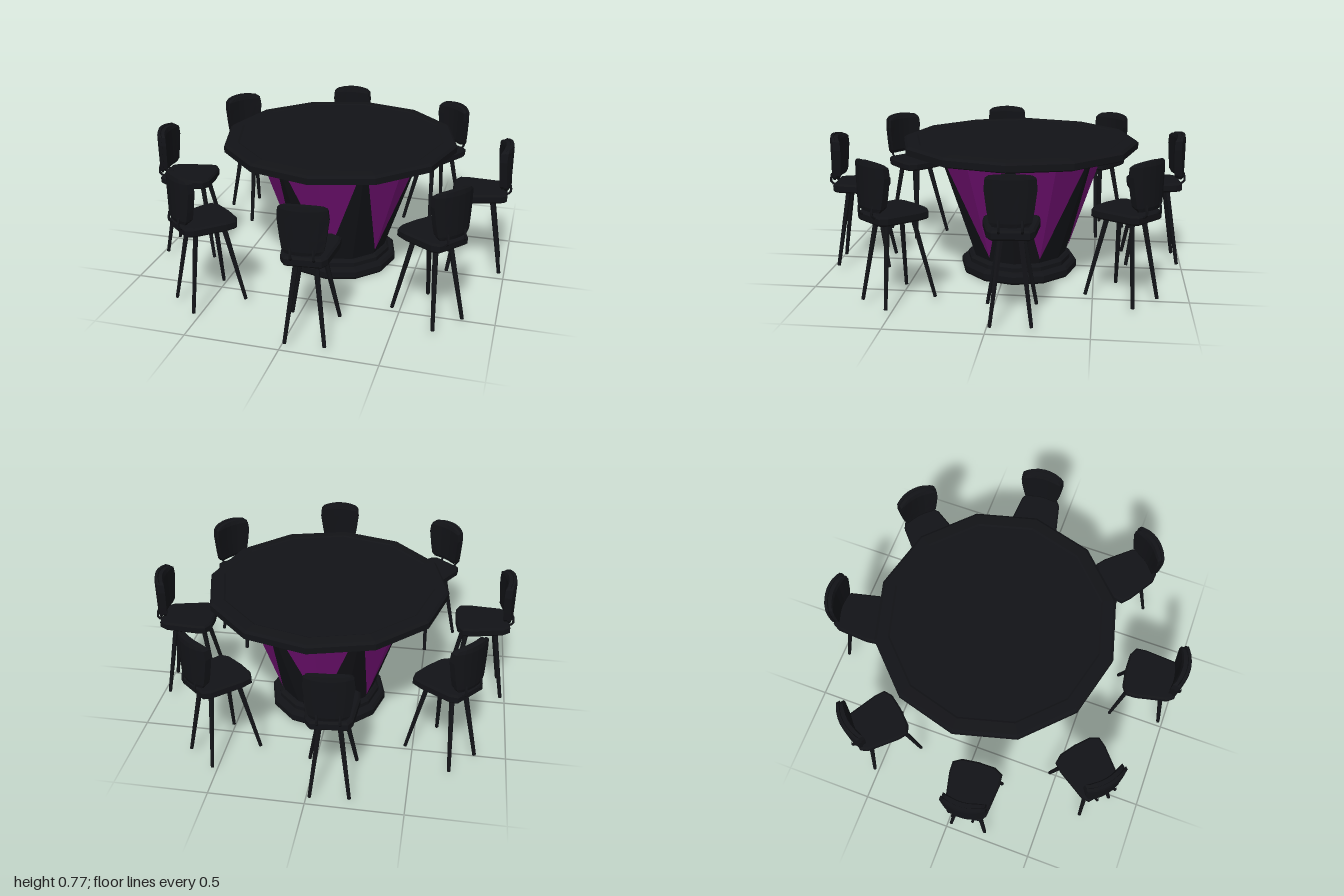
import * as THREE from 'three';

const dark = new THREE.MeshStandardMaterial({ color: 0x121317, flatShading: true });
const purple = new THREE.MeshStandardMaterial({ color: 0x6f1070, flatShading: true });
const SIDES = 12;

function add(parent, name, geometry, material = dark) {
  const mesh = new THREE.Mesh(geometry, material);
  mesh.name = name;
  parent.add(mesh);
  return mesh;
}

function group(parent, name) {
  const g = new THREE.Group();
  g.name = name;
  parent.add(g);
  return g;
}

// Faceted turned part from [radius, height] pairs, bottom to top
function turned(points) {
  return new THREE.LatheGeometry(points.map(([r, y]) => new THREE.Vector2(r, y)), SIDES);
}

// Tapered rod from the top point to the bottom point
function rod(parent, name, top, bottom, rTop, rBottom) {
  const a = new THREE.Vector3(...top), b = new THREE.Vector3(...bottom);
  const mesh = add(parent, name, new THREE.CylinderGeometry(rTop, rBottom, a.distanceTo(b), 6));
  mesh.position.copy(a).lerp(b, 0.5);
  mesh.quaternion.setFromUnitVectors(new THREE.Vector3(0, 1, 0), a.sub(b).normalize());
}

// Upholstered back panel: box bent around the sitter, its width following the height
function backPanel(rows, thickness, zCentre, bend) {
  const geo = new THREE.BoxGeometry(2, rows.length - 1, thickness, 6, rows.length - 1, 1);
  const p = geo.attributes.position;
  for (let i = 0; i < p.count; i++) {
    const row = Math.round(p.getY(i) + (rows.length - 1) / 2);
    const [y, half] = rows[row];
    const u = p.getX(i), x = u * half;
    const thin = (row === 0 || row === rows.length - 1 ? 0.6 : 1) * (Math.abs(u) > 0.9 ? 0.7 : 1);
    const crown = row === rows.length - 1 ? -0.01 * u * u : 0;
    p.setXYZ(i, x, y + crown, zCentre + p.getZ(i) * thin - bend * x * x);
  }
  geo.computeVertexNormals();
  return geo;
}

function buildTable(root) {
  const table = group(root, 'table');
  table.position.set(0.03, 0, -0.065);

  add(table, 'tabletop', turned([
    [0, 0.7], [0.63, 0.7], [0.66, 0.712], [0.66, 0.745], [0.645, 0.757],
    [0.585, 0.762], [0.575, 0.757], [0, 0.757],
  ]));
  add(table, 'collar', turned([[0, 0.67], [0.48, 0.67], [0.49, 0.7]]));
  add(table, 'pedestal', turned([[0.265, 0.09], [0.465, 0.685]]));
  add(table, 'base', turned([
    [0, 0], [0.325, 0], [0.333, 0.012], [0.333, 0.045], [0.32, 0.06],
    [0.295, 0.062], [0.295, 0.085], [0.28, 0.1], [0, 0.1],
  ]));

  // Coloured inlays pointing down, folded over every second edge of the pedestal
  const onCone = (deg, y) => {
    const r = 0.269 + (y - 0.09) / 0.595 * 0.2;
    const a = Math.abs(deg) * Math.PI / 180, s = Math.PI / SIDES;
    const k = r * Math.cos(s) / Math.cos(s - a), t = deg * Math.PI / 180;
    return [k * Math.sin(t), y, k * Math.cos(t)];
  };
  const apex = onCone(0, 0.125), mid = onCone(0, 0.675);
  const geo = new THREE.BufferGeometry();
  geo.setAttribute('position', new THREE.Float32BufferAttribute([
    apex, onCone(27, 0.675), mid, apex, mid, onCone(-27, 0.675),
  ].flat(), 3));
  geo.computeVertexNormals();
  for (let i = 0; i < 6; i++) add(table, 'pedestalInlay', geo, purple).rotation.y = i * Math.PI / 3;
}

// One chair with its back toward +z
function buildChair() {
  const chair = new THREE.Group();
  chair.name = 'chair';

  // Seat outline, wider at the front; shape y becomes -z
  const half = [[0, 0.128], [0.09, 0.122], [0.128, 0.1], [0.13, 0.05], [0.105, -0.12], [0.085, -0.15]];
  const outline = [...half, ...half.slice(1).reverse().map(([x, y]) => [-x, y])];
  const seat = new THREE.ExtrudeGeometry(
    new THREE.Shape(outline.map(([x, y]) => new THREE.Vector2(x, y))),
    { depth: 0.03, bevelEnabled: true, bevelThickness: 0.01, bevelSize: 0.01, bevelSegments: 1 });
  seat.rotateX(-Math.PI / 2);
  seat.translate(0, 0.466, 0);
  add(chair, 'seat', seat);

  const rows = [[0.525, 0.085], [0.545, 0.1], [0.6, 0.11], [0.7, 0.123], [0.75, 0.118], [0.775, 0.1]];
  add(chair, 'backShell', backPanel(rows, 0.026, 0.166, 2.2));
  const cushion = rows.map(([y, w]) => [0.65 + (y - 0.65) * 0.95, w * 0.94]);
  add(chair, 'backCushion', backPanel(cushion, 0.035, 0.145, 2.2));

  for (const s of [-1, 1]) {
    rod(chair, 'frontLeg', [s * 0.045, 0.47, -0.07], [s * 0.125, 0.025, -0.145], 0.015, 0.01);
    rod(chair, 'backLeg', [s * 0.045, 0.47, 0.08], [s * 0.1, 0.025, 0.15], 0.015, 0.01);
    const path = new THREE.CatmullRomCurve3([[0.1, 0.495], [0.165, 0.498], [0.178, 0.512], [0.17, 0.56]]
      .map(([z, y]) => new THREE.Vector3(s * 0.055, y, z)));
    add(chair, 'backBracket', new THREE.TubeGeometry(path, 8, 0.007, 5));
  }
  return chair;
}

export function createModel() {
  const root = new THREE.Group();
  root.name = 'diningSet';
  buildTable(root);

  // Ring of eight chairs, each turned slightly off the radius
  const chair = buildChair();
  chair.position.set(0.108, 0, 0.815);
  chair.rotation.y = 0.085;
  for (let i = 0; i < 8; i++) {
    const place = group(root, 'chairPlace');
    place.rotation.y = i * Math.PI / 4;
    place.add(chair.clone());
  }
  return root;
}
